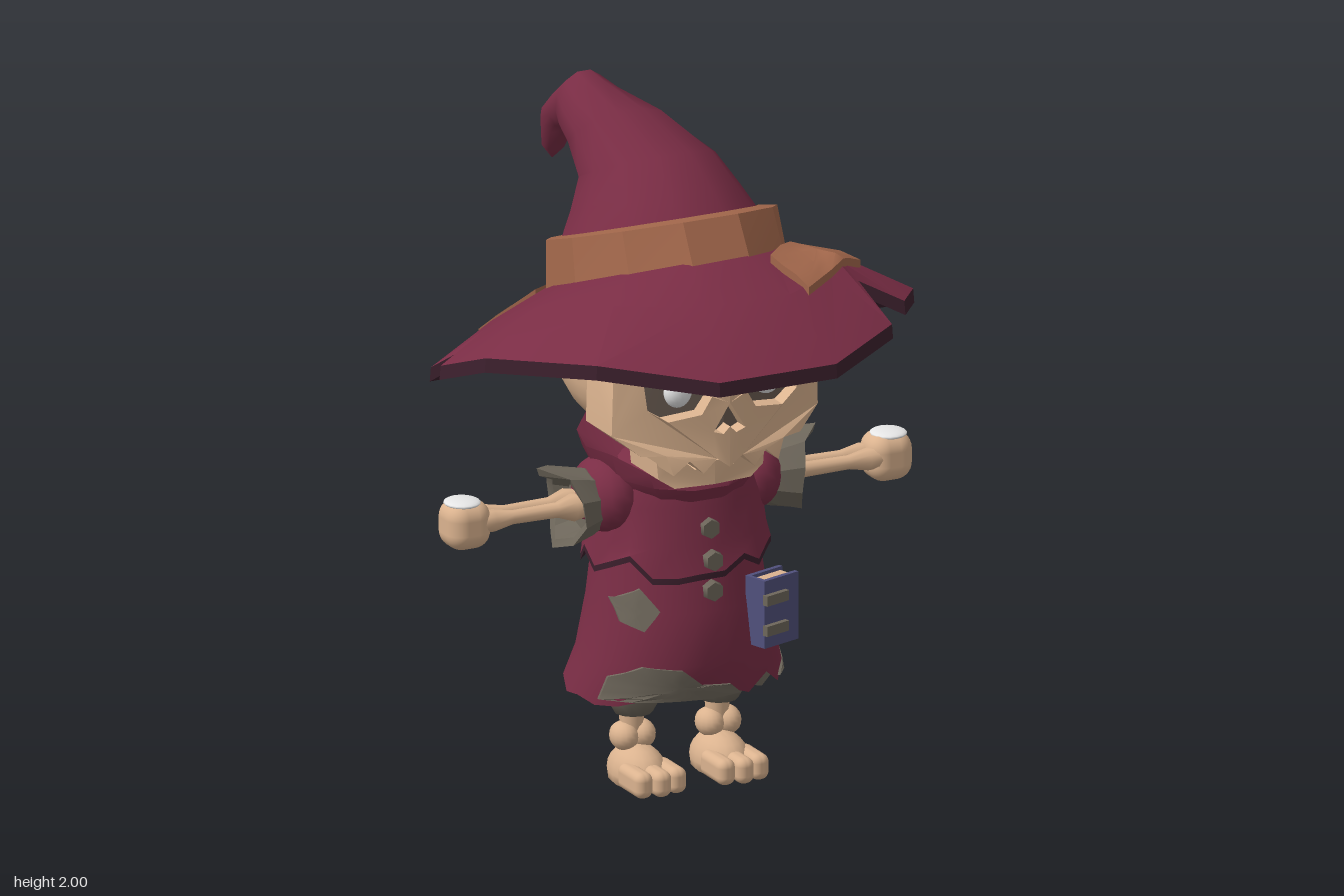
import * as THREE from 'three';
import { toCreasedNormals } from 'three/addons/utils/BufferGeometryUtils.js';
import { RoundedBoxGeometry } from 'three/addons/geometries/RoundedBoxGeometry.js';

const V = (x, y, z) => new THREE.Vector3(x, y, z);
const paint = (name, color) => Object.assign(new THREE.MeshStandardMaterial({ color, side: THREE.DoubleSide }), { name });

// Skin a list of point rings; neighbouring rings have equal point counts
function loft(rings, crease = 0.6) {
  const n = rings[0].length, index = [];
  for (let i = 0; i < rings.length - 1; i++) for (let j = 0; j < n; j++) {
    const k = (j + 1) % n, a = i * n + j, b = i * n + k;
    index.push(a, b, b + n, a, b + n, a + n);
  }
  const g = new THREE.BufferGeometry().setFromPoints(rings.flat());
  g.setIndex(index);
  return toCreasedNormals(g, crease);
}

// Elliptical ring through a front and a back point (y, z), with half width rx
const ring = (n, [cx, rx, yF, zF, yB, zB], jag = () => 0) => Array.from({ length: n }, (_, j) => {
  const a = (j + 0.5) / n * Math.PI * 2, c = Math.cos(a);
  return V(cx + rx * Math.sin(a), (yF + yB) / 2 + (yF - yB) / 2 * c + jag(j), (zF + zB) / 2 + (zF - zB) / 2 * c);
});

// Ring around the x axis, for sleeves
const armRing = (n, s, x, r, jag = () => 0) => Array.from({ length: n }, (_, j) => {
  const a = j / n * Math.PI * 2;
  return V(s * (x + jag(j)), 0.85 + r * Math.cos(a), -0.01 + s * r * Math.sin(a));
});

// Patch draped over a mesh: a polygon projected along dir, raised by lift, with side walls
function drape(target, points, place, dir, lift) {
  const ray = new THREE.Raycaster(), mid = [0, 1].map(k => points.reduce((s, p) => s + p[k], 0) / points.length);
  const edge = points.flatMap((p, i) => [0, 0.33, 0.67].map(t => p.map((v, k) => v + (points[(i + 1) % points.length][k] - v) * t)));
  let depth = 1.75;
  const rings = [[0.001, 1], [0.35, 1], [0.7, 1], [1, 1], [1, 0]].map(([t, raise]) => edge.map(p => {
    const o = place(...p.map((v, k) => mid[k] + (v - mid[k]) * t));
    ray.set(o, dir);
    const hit = ray.intersectObject(target)[0];
    if (hit) depth = hit.distance;
    return o.addScaledVector(dir, depth - lift * raise);
  }));
  return loft(rings);
}

export function createModel() {
  const model = new THREE.Group();
  model.name = 'skeletonWizard';
  const cloth = paint('maroon cloth', 0x7a2d45), lining = paint('dark lining', 0x3c202d), leather = paint('brown leather', 0xa2674b);
  const bone = paint('bone', 0xdbb38f), grey = paint('grey cloth', 0x6e675b), blue = paint('blue cover', 0x50507c);
  const white = paint('white', 0xe6e6e6), socket = paint('socket shade', 0x6a5c52), red = paint('red mark', 0x7a3230);
  const add = (name, geo, mat, pos = [0, 0, 0], rot = [0, 0, 0], scale = [1, 1, 1], parent = model) => {
    const m = new THREE.Mesh(geo, mat);
    m.name = name;
    m.position.set(...pos); m.rotation.set(...rot); m.scale.set(...scale);
    parent.add(m);
    return m;
  };
  const ball = (name, mat, pos, scale) => add(name, new THREE.SphereGeometry(1, 16, 12), mat, pos, [0, 0, 0], scale);

  // Hat brim: notched twelve-sided outline, drooping to the back
  const outline = [[0.17, 0.655], [0.42, 0.51], [0.39, 0.36], [0.51, 0.41], [0.66, 0.17], [0.66, -0.19], [0.48, -0.49], [0.17, -0.66],
    [-0.2, -0.66], [-0.51, -0.49], [-0.66, -0.24], [-0.56, -0.16], [-0.69, -0.12], [-0.69, 0.16], [-0.5, 0.48], [-0.2, 0.655]];
  const notches = [2, 11];
  const rim = outline.map(([x, z], i) => V(x, Math.min(1.285 + 0.38 * z, 1.51 - 0.25 * z) + (notches.includes(i) ? 0.05 : 0), z));
  const rimTop = rim.map(p => V(p.x * 0.995, p.y + 0.042, p.z * 0.995));
  const inner = rim.map(p => {
    const a = Math.atan2(p.x, p.z), z = -0.07 + 0.33 * Math.cos(a);
    return V(0.32 * Math.sin(a), 1.49 + 0.38 * (z + 0.07), z);
  });
  const middle = rimTop.map((p, i) => p.clone().lerp(inner[i], notches.includes(i) ? 0.25 : 0.5).add(V(0, 0.022 + 0.03 * p.z, 0)));
  const lower = r => r.map(p => V(p.x, p.y - 0.04, p.z));
  const brim = add('hatBrim', loft([rimTop, middle, inner], 0.4), cloth);
  add('hatBrimEdge', loft([rim, rimTop], 0.1), lining);
  add('hatBrimUnderside', loft([lower(inner), lower(middle), rim], 0.3), lining);

  // Hat band and bent crown
  add('hatBand', loft([[0, 0.345, 1.60, 0.285, 1.34, -0.425], [0, 0.335, 1.715, 0.215, 1.5, -0.415], [0, 0.285, 1.71, 0.165, 1.51, -0.385]]
    .map(s => ring(12, s)), 0.2), leather);
  add('hatCrown', loft([
    [0, 0.295, 1.68, 0.18, 1.48, -0.39], [-0.005, 0.245, 1.76, 0.1, 1.59, -0.36], [-0.01, 0.2, 1.84, 0.0, 1.68, -0.34],
    [-0.06, 0.15, 1.93, -0.17, 1.76, -0.34], [-0.11, 0.1, 1.985, -0.28, 1.79, -0.36], [-0.12, 0.08, 2.005, -0.345, 1.82, -0.385],
    [-0.12, 0.065, 1.93, -0.45, 1.8, -0.43], [-0.12, 0.05, 1.85, -0.55, 1.77, -0.47],
    [-0.125, 0.035, 1.74, -0.55, 1.72, -0.5], [-0.125, 0.002, 1.69, -0.535, 1.69, -0.53]].map(s => ring(12, s)), 0.75), cloth);

  // Patches sewn on the brim
  const down = V(0, -1, 0), above = (u, v) => V(u, 3, v);
  add('brimPatchFront', drape(brim, [[0.34, 0.09], [0.5, 0.15], [0.36, 0.32], [0.19, 0.44], [0.15, 0.28]], above, down, 0.024), leather);
  add('brimPatchBack', drape(brim, [[-0.18, -0.55], [-0.42, -0.41], [-0.3, -0.29], [-0.12, -0.41]], above, down, 0.02), leather);

  // Cranium: boxy ball, flattened behind the face
  const skull = new THREE.SphereGeometry(1, 28, 18), sp = skull.attributes.position;
  for (let i = 0; i < sp.count; i++) {
    const [x, y, z] = [sp.getX(i), sp.getY(i), sp.getZ(i)].map(v => Math.sign(v) * Math.abs(v) ** 0.82);
    sp.setXYZ(i, x * 0.322, 1.27 + y * 0.25, Math.min(z * 0.33 - 0.005, 0.21));
  }
  add('cranium', toCreasedNormals(skull, 0.7), bone);

  // Bent face plates with eye and nose openings, made as mirrored halves
  const slab = (pts, depth, z, holes = []) => {
    const path = list => list.map(p => new THREE.Vector2(...p));
    const shape = new THREE.Shape(path(pts));
    shape.holes = holes.map(h => new THREE.Path(path(h)));
    const g = new THREE.ExtrudeGeometry(shape, { depth, bevelEnabled: false }).translate(0, 0, z), p = g.attributes.position;
    for (let i = 0; i < p.count; i++) p.setZ(i, p.getZ(i) - 0.9 * p.getX(i) ** 2);
    return toCreasedNormals(g, 0.5);
  };
  const eyeHole = [[0.055, 1.225], [0.085, 1.175], [0.18, 1.16], [0.235, 1.195], [0.25, 1.315], [0.15, 1.275]];
  for (const s of [1, -1]) {
    const half = (name, geo, mat) => add(name, geo, mat, [0, 0, 0], [0, 0, 0], [s, 1, 1]);
    half('face', slab([[0, 1.44], [0.1, 1.44], [0.2, 1.44], [0.28, 1.44], [0.32, 1.34], [0.325, 1.12], [0.25, 1.06], [0.185, 1.06], [0.165, 1.0],
      [0.12, 1.04], [0.08, 1.0], [0.04, 1.04], [0, 1.01], [0, 1.13], [0.02, 1.11], [0.05, 1.12], [0, 1.2]], 0.16, 0.165, [eyeHole]), bone);
    half('socketBacking', slab([[0, 1.33], [0.14, 1.33], [0.27, 1.33], [0.27, 1.11], [0.14, 1.09], [0, 1.09]], 0.008, 0.275), socket);
    half('lowerJaw', slab([[0, 0.93], [0.12, 0.93], [0.165, 0.96], [0.17, 1.01], [0.14, 0.985], [0.1, 1.015], [0.06, 0.98], [0.02, 1.0], [0, 1.0]], 0.17, 0.06), bone);
    half('eyelid', slab([[0.07, 1.237], [0.15, 1.28], [0.25, 1.325], [0.255, 1.275], [0.2, 1.265], [0.15, 1.264]], 0.008, 0.32), red);
    ball('eye', white, [s * 0.14, 1.238, 0.275], [0.042, 0.045, 0.03]);
    add('foreheadMark', new THREE.BoxGeometry(0.022, 0.024, 0.008), red, [s * 0.065, 1.33, 0.32], [0, s * 0.1, 0.78]);
  }
  add('mouthRoof', new THREE.BoxGeometry(0.28, 0.07, 0.13), bone, [0, 1.04, 0.14]);
  add('neck', new THREE.CylinderGeometry(0.06, 0.07, 0.2, 10), bone, [0, 0.97, 0]);

  // Robe: torn skirt with lining, and a torn mantle above it
  const tears = [0.03, 0.0, 0.04, -0.01, 0.03, 0, -0.02, 0.02, 0.01, -0.01, 0.03, 0, 0.02, -0.02, 0.03, 0, 0.02, -0.01, 0, -0.015, -0.01, 0.01, 0.02, 0.05];
  const tear = j => tears[j % 24], mantleTear = j => tears[(j * 7 + 3) % 24] * 0.9;
  const skirtRows = [[0, 0.32, 0.285, 0.22, 0.285, -0.285], [0, 0.29, 0.4, 0.245, 0.4, -0.265], [0, 0.26, 0.55, 0.225, 0.55, -0.245], [0, 0.24, 0.71, 0.195, 0.71, -0.225]];
  const skirtForm = loft(skirtRows.map(s => ring(24, s)), 0.7);
  add('skirt', loft(skirtRows.map((s, i) => ring(24, s, i ? undefined : tear)), 0.7), cloth);
  add('skirtLining', loft(skirtRows.map(([x, r, a, zf, b, zb], i) => ring(24, [x, r - 0.015, a, zf - 0.015, b, zb + 0.015], i ? undefined : j => tear(j + 1) * 0.5)), 0.7), grey);
  const mantleEdge = ring(24, [0, 0.275, 0.675, 0.225, 0.675, -0.25], mantleTear);
  add('mantle', loft([mantleEdge, ...[[0, 0.265, 0.74, 0.205, 0.74, -0.24], [0, 0.25, 0.85, 0.19, 0.85, -0.22], [0, 0.22, 0.93, 0.17, 0.93, -0.19],
    [0, 0.1, 0.96, 0.1, 0.98, -0.12]].map(s => ring(24, s))], 0.7), cloth);
  add('mantleUnderside', loft([ring(24, [0, 0.23, 0.69, 0.19, 0.69, -0.22]), mantleEdge.map(p => V(p.x, p.y - 0.018, p.z)), mantleEdge], 0.3), lining);
  const collarTop = ring(14, [0, 0.27, 0.94, 0.21, 1.045, -0.29], j => [-0.02, 0.01, 0.035, 0.01, 0, 0, 0][Math.min(j, 13 - j)]);
  add('collar', loft([ring(14, [0, 0.2, 0.87, 0.19, 0.9, -0.2]), ring(14, [0, 0.25, 0.91, 0.215, 0.985, -0.29]), collarTop], 0.5), cloth);
  add('collarInside', loft([collarTop, ring(14, [0, 0.17, 0.91, 0.15, 0.97, -0.18]), ring(14, [0, 0.04, 0.9, 0.04, 0.93, -0.05])], 0.5), cloth);
  for (const [y, z] of [[0.79, 0.2], [0.7, 0.222], [0.61, 0.22]])
    add('button', new THREE.CylinderGeometry(0.028, 0.032, 0.025, 6), grey, [0, y, z], [Math.PI / 2, 0, 0]);

  // Worn grey patches on the skirt
  const form = new THREE.Mesh(skirtForm, cloth);
  const front = [(u, v) => V(u, v, 2), V(0, 0, -1)], left = [(u, v) => V(2, v, u), V(-1, 0, 0)], back = [(u, v) => V(u, v, -2), V(0, 0, 1)];
  [[front, [[-0.245, 0.58], [-0.19, 0.62], [-0.15, 0.56], [-0.19, 0.5], [-0.235, 0.52]]],
    [front, [[-0.29, 0.29], [-0.27, 0.36], [-0.2, 0.4], [-0.1, 0.39], [-0.04, 0.34], [0.05, 0.33], [0.09, 0.295], [-0.1, 0.295]]],
    [left, [[0.03, 0.49], [-0.02, 0.505], [-0.06, 0.47], [-0.04, 0.43], [0.01, 0.44]]],
    [left, [[0.12, 0.29], [0.06, 0.32], [0.0, 0.36], [-0.08, 0.34], [-0.14, 0.375], [-0.2, 0.36], [-0.23, 0.29], [-0.05, 0.287]]],
    [back, [[-0.16, 0.51], [-0.21, 0.5], [-0.21, 0.45], [-0.18, 0.43], [-0.15, 0.46]]],
  ].forEach(([[place, dir], pts]) => add('robePatch', drape(form, pts, place, dir, 0.009), grey));

  // Book hung on the robe, open edge outward, closed with two clasps
  const book = new THREE.Group();
  book.name = 'book';
  book.position.set(0.19, 0.53, 0.21);
  book.rotation.y = 0.3;
  model.add(book);
  const part = (name, size, mat, pos) => add(name, new THREE.BoxGeometry(...size), mat, pos, [0, 0, 0], [1, 1, 1], book);
  part('pages', [0.115, 0.18, 0.05], bone, [0, 0, 0]);
  for (const z of [-0.032, 0.032]) part('cover', [0.132, 0.2, 0.014], blue, [0, 0, z]);
  part('spine', [0.012, 0.2, 0.07], blue, [-0.06, 0, 0]);
  for (const y of [0.045, -0.045]) part('clasp', [0.085, 0.03, 0.018], grey, [-0.028, y, 0.046]);

  for (const s of [1, -1]) {
    // Sleeve with ragged cuff, forearm bones and fist
    ball('sleeve', cloth, [s * 0.225, 0.865, -0.01], [0.09, 0.11, 0.125]);
    const ragged = j => [0.08, 0.01, -0.01, -0.02, 0.0, 0.03, 0.0, -0.02, -0.01, 0.01][j];
    add('cuff', loft([armRing(10, s, 0.26, 0.085), armRing(10, s, 0.29, 0.1), armRing(10, s, 0.36, 0.122, ragged), armRing(10, s, 0.352, 0.098, ragged),
      armRing(10, s, 0.3, 0.078), armRing(10, s, 0.29, 0.005)], 0.3), grey);
    for (const z of [-0.035, 0.015]) add('forearmBone', new THREE.LatheGeometry(
      [[0.03, 0], [0.04, 0.05], [0.022, 0.1], [0.02, 0.24], [0.032, 0.3], [0.03, 0.34]].map(p => new THREE.Vector2(...p)), 10),
    bone, [s * 0.29, 0.848, z], [0, 0, -s * Math.PI / 2]);
    add('fist', new RoundedBoxGeometry(0.135, 0.142, 0.13, 4, 0.05), bone, [s * 0.665, 0.843, -0.015]);
    ball('fistTop', white, [s * 0.672, 0.906, -0.015], [0.053, 0.012, 0.056]);

    // Trouser leg, shin with ankle knobs, and three-toed foot
    add('trouserLeg', new THREE.LatheGeometry([[0.0, 0.205], [0.055, 0.205], [0.08, 0.25], [0.085, 0.29], [0.085, 0.4], [0, 0.45]]
      .map(p => new THREE.Vector2(...p)), 12), grey, [s * 0.135, 0, -0.01]);
    add('shin', new THREE.CylinderGeometry(0.037, 0.032, 0.14, 10), bone, [s * 0.135, 0.16, -0.02]);
    for (const d of [-1, 1]) ball('ankleKnob', bone, [s * 0.135 + d * 0.027, 0.135, -0.015], [0.04, 0.042, 0.05]);
    const foot = new THREE.SphereGeometry(1, 16, 12).scale(0.078, 0.085, 0.115).translate(s * 0.13, 0.03, 0.005), p = foot.attributes.position;
    for (let i = 0; i < p.count; i++) p.setY(i, Math.max(0, p.getY(i)));
    add('foot', toCreasedNormals(foot, 0.8), bone);
    for (const d of [-1, 0, 1])
      add('toe', new RoundedBoxGeometry(0.055, 0.076, 0.14, 3, 0.024), bone, [s * 0.13 + d * 0.053, 0.038, 0.11 - Math.abs(d) * 0.012]);
  }
  return model;
}
